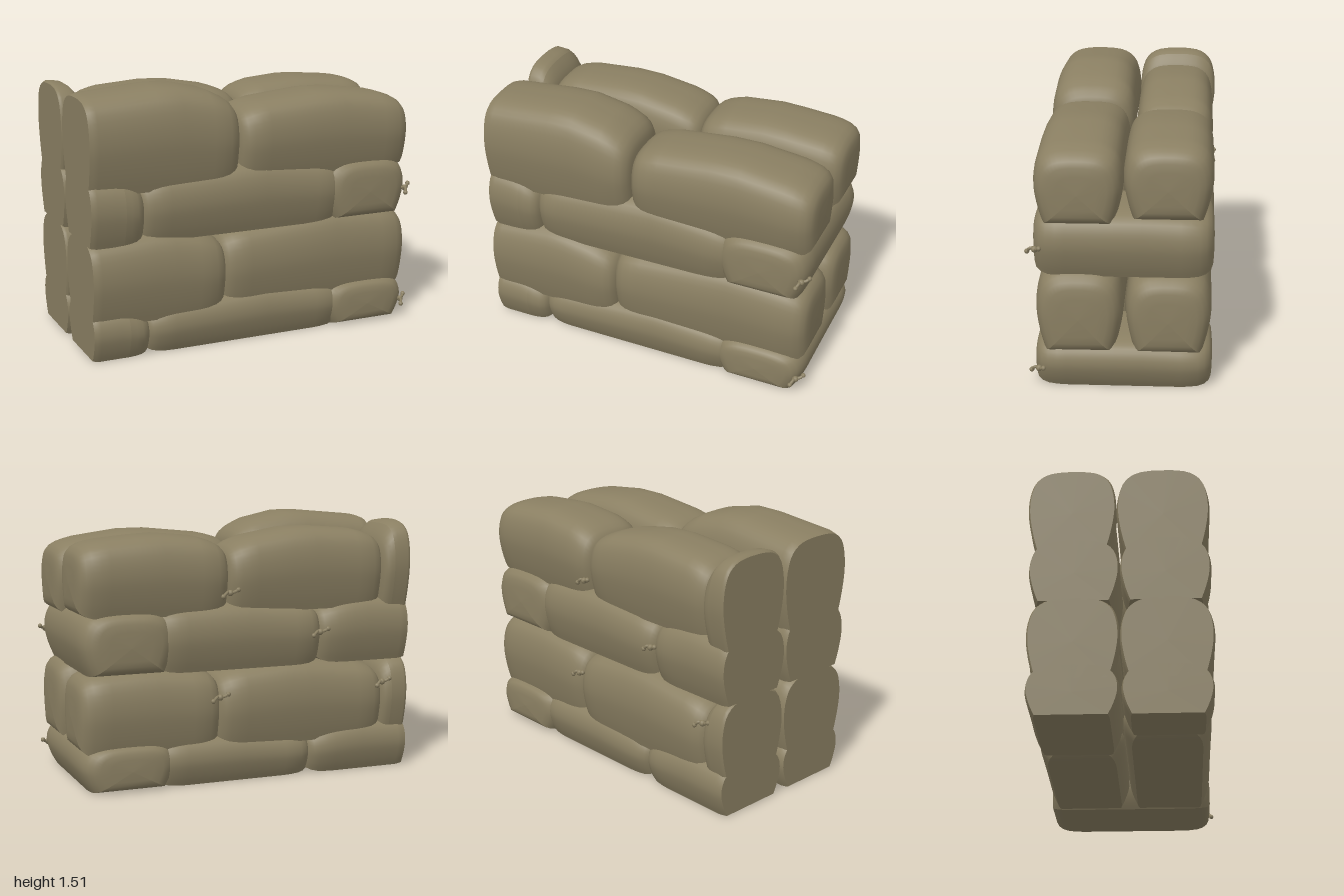
import * as THREE from 'three';

const burlap = new THREE.MeshStandardMaterial({ color: 0x8a7f62 });
burlap.name = 'burlap';

// Bag cross-section: flat bottom, bulging sides, domed top (half width, height), both 0..1
const half = [[0.8, 0], [0.89, 0.16], [0.97, 0.36], [1, 0.52], [0.97, 0.7], [0.86, 0.86], [0.62, 0.96], [0.3, 0.995]];
const outline = new THREE.CatmullRomCurve3(
  [...half, [0, 1], ...half.map(([w, h]) => [-w, h]).reverse()].map(([w, h]) => new THREE.Vector3(w, h, 0)),
).getPoints(40);
const ring = [...outline, outline[40], outline[0]]; // repeated corners keep the bottom edge sharp

// End shapes: [distance from the end, section scale]
const softEnd = [[0, 0.001], [0.003, 0.45], [0.008, 0.66], [0.02, 0.8], [0.045, 0.9], [0.08, 0.96], [0.13, 0.99], [0.18, 1]];
const flatEnd = [[0, 0.001], [0, 0.96], [0, 0.96], [0.02, 0.98], [0.05, 1]];

// Lofts a bag along x; tops are heights spread evenly along its length
function bagGeometry(length, width, bottom, tops, cut) {
  const k = Math.min(1, length / 0.45);
  const stations = (cut ? flatEnd : softEnd).map(([d, s]) => [d * k, s]);
  for (const t of [0.45, 0.6]) stations.push([length * t, 1]);
  softEnd.slice().reverse().forEach(([d, s]) => stations.push([length - d * k, s]));
  stations.sort((a, b) => a[0] - b[0]);
  const topLine = new THREE.SplineCurve(tops.map((y, i) => new THREE.Vector2(i, y)));
  const pos = [], index = [], n = ring.length;
  stations.forEach(([x, s], i) => {
    const H = topLine.getPoint(x / length).y - bottom;
    ring.forEach((p, j) => {
      pos.push(x - length / 2, bottom + H * (0.45 + (p.y - 0.45) * s), -0 + p.x * s * width / 2);
      if (i < stations.length - 1 && j < n - 1 && j !== n - 3) {
        const a = i * n + j, b = a + n;
        index.push(a, b, a + 1, b, b + 1, a + 1);
      }
    });
  });
  const g = new THREE.BufferGeometry();
  g.setAttribute('position', new THREE.Float32BufferAttribute(pos, 3));
  g.setIndex(index);
  g.computeVertexNormals();
  return g;
}

// Lengthwise bags: [x0, x1, z0, z1, bottom, tops]; those starting at x = -1 are cut flat there
const bags = {
  firstCourse: [
    [-1, -0.65, 0.01, 0.49, 0, [0.29, 0.29, 0.24]],
    [-0.69, 0.56, 0, 0.48, 0, [0.26, 0.29, 0.31, 0.27]],
    [-1, -0.36, -0.49, 0, 0, [0.29, 0.3, 0.26]],
    [-0.4, 0.56, -0.48, 0, 0, [0.25, 0.28, 0.27]],
  ],
  secondCourse: [
    [-1, -0.18, 0, 0.5, 0.2, [0.68, 0.72, 0.7, 0.63]],
    [-0.22, 1, 0, 0.48, 0.2, [0.65, 0.69, 0.72, 0.68]],
    [-1, -0.83, -0.49, 0, 0.2, [0.68, 0.67, 0.62]],
    [-0.86, 0.2, -0.5, -0.01, 0.2, [0.62, 0.67, 0.68, 0.63]],
    [0.16, 1, -0.48, -0.01, 0.2, [0.64, 0.68, 0.66]],
  ],
  thirdCourse: [
    [-1, -0.67, 0, 0.49, 0.65, [1.04, 1.03, 0.98]],
    [-0.71, 0.56, 0, 0.48, 0.65, [1.01, 1.04, 1.06, 1.0]],
    [-1, -0.42, -0.49, 0, 0.65, [1.03, 1.04, 1]],
    [-0.46, 0.56, -0.49, 0, 0.65, [1, 1.04, 1.02]],
  ],
  topCourse: [
    [-1, -0.09, -0.02, 0.49, 0.94, [1.47, 1.5, 1.5, 1.41]],
    [-0.1, 1, 0, 0.48, 0.94, [1.36, 1.41, 1.41, 1.35]],
    [-1, -0.83, -0.5, -0.02, 0.96, [1.47, 1.46, 1.38]],
    [-0.86, 0.13, -0.48, -0.03, 0.97, [1.4, 1.44, 1.43, 1.36]],
    [0.11, 1, -0.48, 0, 0.97, [1.37, 1.42, 1.41, 1.38]],
  ],
};

// Crosswise end bags: [bottom, tops]
const endBags = { firstCourse: [0, [0.27, 0.28, 0.27]], thirdCourse: [0.65, [1.01, 1.02, 1.01]] };

// Tied corners: [x, y, z, yaw]
const ties = [
  [0.96, 0.11, 0.46, 0.9], [0.96, 0.81, 0.47, 0.9], [0.13, 1.09, -0.47, 3.1],
  [0.19, 0.5, -0.47, 3.1], [-0.84, 0.52, -0.47, 3.3], [-0.43, 0.84, -0.47, 3.1],
];

function makeTie([x, y, z, yaw]) {
  const tie = new THREE.Group();
  tie.name = 'tiedCorner';
  const knot = new THREE.Mesh(new THREE.SphereGeometry(0.018, 10, 8), burlap);
  knot.name = 'knot';
  tie.add(knot);
  for (const side of [-1, 1]) {
    const path = new THREE.CatmullRomCurve3([
      new THREE.Vector3(0, 0, -0.02), new THREE.Vector3(side * 0.02, 0.005, 0.008), new THREE.Vector3(side * 0.045, side * 0.018, 0.012),
    ]);
    const ear = new THREE.Mesh(new THREE.TubeGeometry(path, 6, 0.009, 7), burlap);
    const tip = new THREE.Mesh(new THREE.SphereGeometry(0.014, 8, 6), burlap);
    tip.position.copy(path.getPoint(1));
    ear.name = 'tieEnd';
    tip.name = 'tieTip';
    tie.add(ear, tip);
  }
  tie.position.set(x, y, z);
  tie.rotation.y = yaw;
  return tie;
}

export function createModel() {
  const wall = new THREE.Group();
  wall.name = 'sandbagWall';
  for (const [name, list] of Object.entries(bags)) {
    const course = new THREE.Group();
    course.name = name;
    for (const [x0, x1, z0, z1, bottom, tops] of list) {
      const bag = new THREE.Mesh(bagGeometry(x1 - x0, z1 - z0, bottom, tops, x0 === -1), burlap);
      bag.name = 'sandbag';
      bag.position.set((x0 + x1) / 2, 0, (z0 + z1) / 2);
      course.add(bag);
    }
    if (endBags[name]) {
      const bag = new THREE.Mesh(bagGeometry(0.98, 0.55, ...endBags[name], false), burlap);
      bag.name = 'crosswiseSandbag';
      bag.position.x = 0.715;
      bag.rotation.y = Math.PI / 2;
      course.add(bag);
    }
    wall.add(course);
  }
  ties.forEach((t) => wall.add(makeTie(t)));
  return wall;
}
